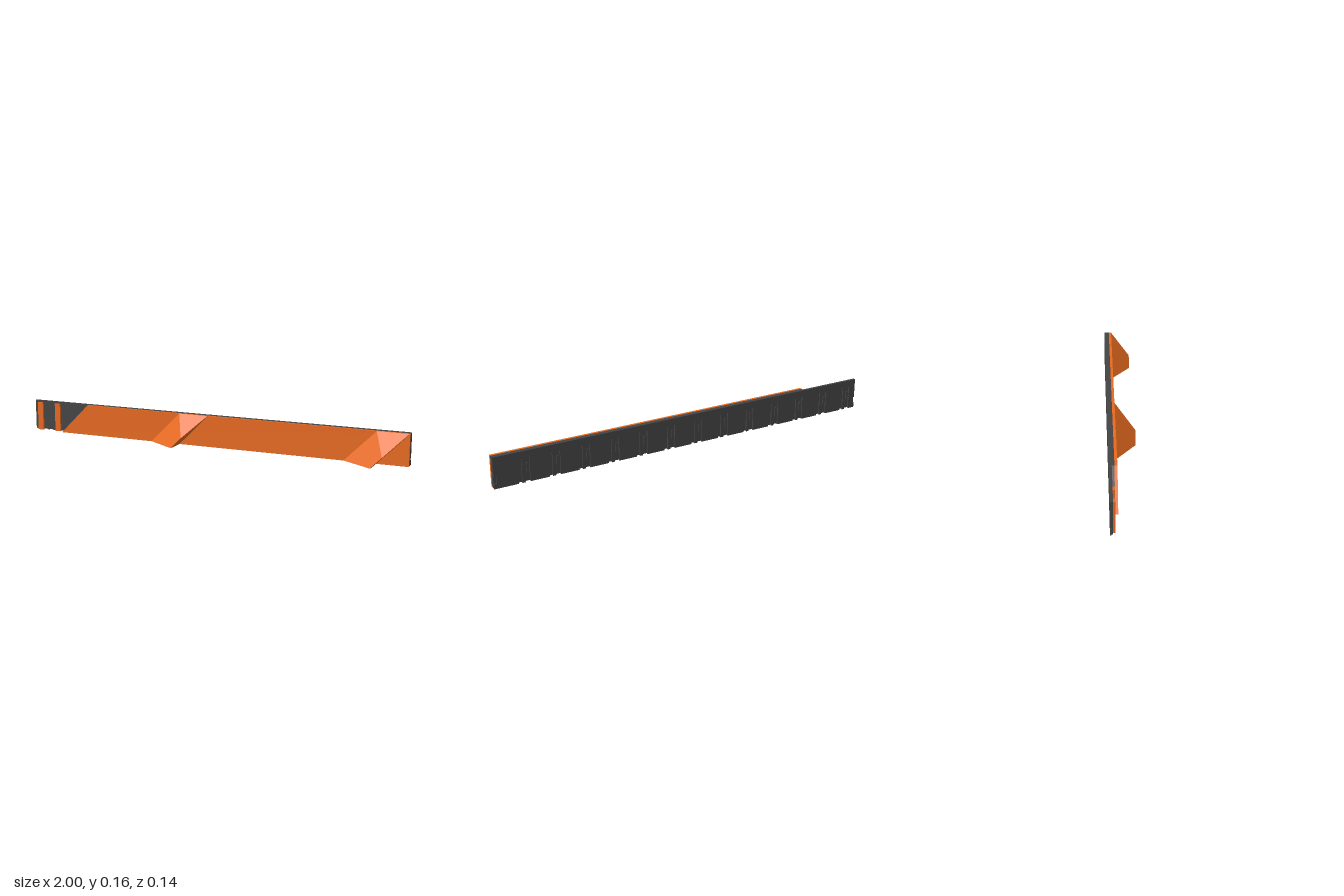
import * as THREE from 'three';
import { ConvexGeometry } from 'three/addons/geometries/ConvexGeometry.js';

const H = 0.155;
const Z_BACK = -0.068, Z_FLOOR = -0.062, Z_THIN = -0.055, Z_BODY = -0.043, Z_FACE = -0.03;

export function createModel() {
  const model = new THREE.Group();
  const orange = new THREE.MeshStandardMaterial({ color: 0xe86a20, flatShading: true });
  const dark = new THREE.MeshStandardMaterial({ color: 0x444444, flatShading: true });

  const add = (name, geometry, material) => {
    const mesh = new THREE.Mesh(geometry, material);
    mesh.name = name;
    model.add(mesh);
    return mesh;
  };
  const slab = (points, z0, z1) => {
    const shape = new THREE.Shape(points.map(([x, y]) => new THREE.Vector2(x, y)));
    const geometry = new THREE.ExtrudeGeometry(shape, { depth: z1 - z0, bevelEnabled: false });
    return geometry.translate(0, 0, z0);
  };
  const box = (x0, x1, y0, y1, z0, z1) =>
    new THREE.BoxGeometry(x1 - x0, y1 - y0, z1 - z0)
      .translate((x0 + x1) / 2, (y0 + y1) / 2, (z0 + z1) / 2);

  // Thin full-length web, thickened to the right of the diagonal lap joint
  add('backWeb', box(-1, 1, 0.004, H, Z_FLOOR, Z_THIN), dark);
  const diagonal = [[-0.83, 0], [1, 0], [1, H], [-0.675, H]];
  add('body', slab(diagonal, Z_THIN, Z_BODY), dark);
  add('frontPanel', slab(diagonal, Z_BODY, Z_FACE), orange);

  // Comb-shaped rear layer: top rail, hanging pads and grooves open at the bottom
  const comb = [[-1, H], [-1, 0.055], [-0.985, 0.055], [-0.985, 0.025], [-1, 0.025], [-1, 0]];
  const cells = 13, pitch = 1.94 / cells;
  for (let i = 0; i < cells; i++) {
    const x = -0.97 + i * pitch;
    for (const [a, b] of [[0.006, 0.03], [0.045, 0.062]]) {
      comb.push([x + a, 0], [x + a, 0.12], [x + b, 0.12], [x + b, 0]);
    }
  }
  comb.push([1, 0], [1, 0.025], [0.985, 0.025], [0.985, 0.055], [1, 0.055], [1, H]);
  add('rearComb', slab(comb, Z_BACK, Z_FLOOR), dark);

  // Small blocks standing in the wider grooves
  for (let i = 0; i < cells; i++) {
    const x = -0.97 + i * pitch + 0.013;
    add('grooveBlock', box(x, x + 0.01, 0.05, 0.095, Z_BACK + 0.001, Z_FLOOR), dark);
  }

  // Locking strips on the thin lap end
  for (const x of [-0.982, -0.879]) {
    add('lockingStrip', box(x, x + 0.03, 0, 0.145, Z_THIN, Z_THIN + 0.01), orange);
  }

  // Diagonal deflector wedges: upright fin on one side, sloping face on the other
  const depth = 0.068;
  const wedge = new ConvexGeometry([
    [-0.31, 0, Z_FACE], [-0.155, H, Z_FACE],
    [-0.158, 0, Z_FACE], [-0.003, H, Z_FACE],
    [-0.158, 0, depth], [-0.103, 0.055, depth],
    // raised inner panel of the fin
    [-0.152, 0.002, -0.025], [-0.016, 0.138, -0.025],
    [-0.152, 0.002, 0.057], [-0.103, 0.051, 0.057],
  ].map((p) => new THREE.Vector3(...p)));
  for (const x of [0, 1]) add('deflectorWedge', wedge, orange).position.x = x;

  return model;
}
